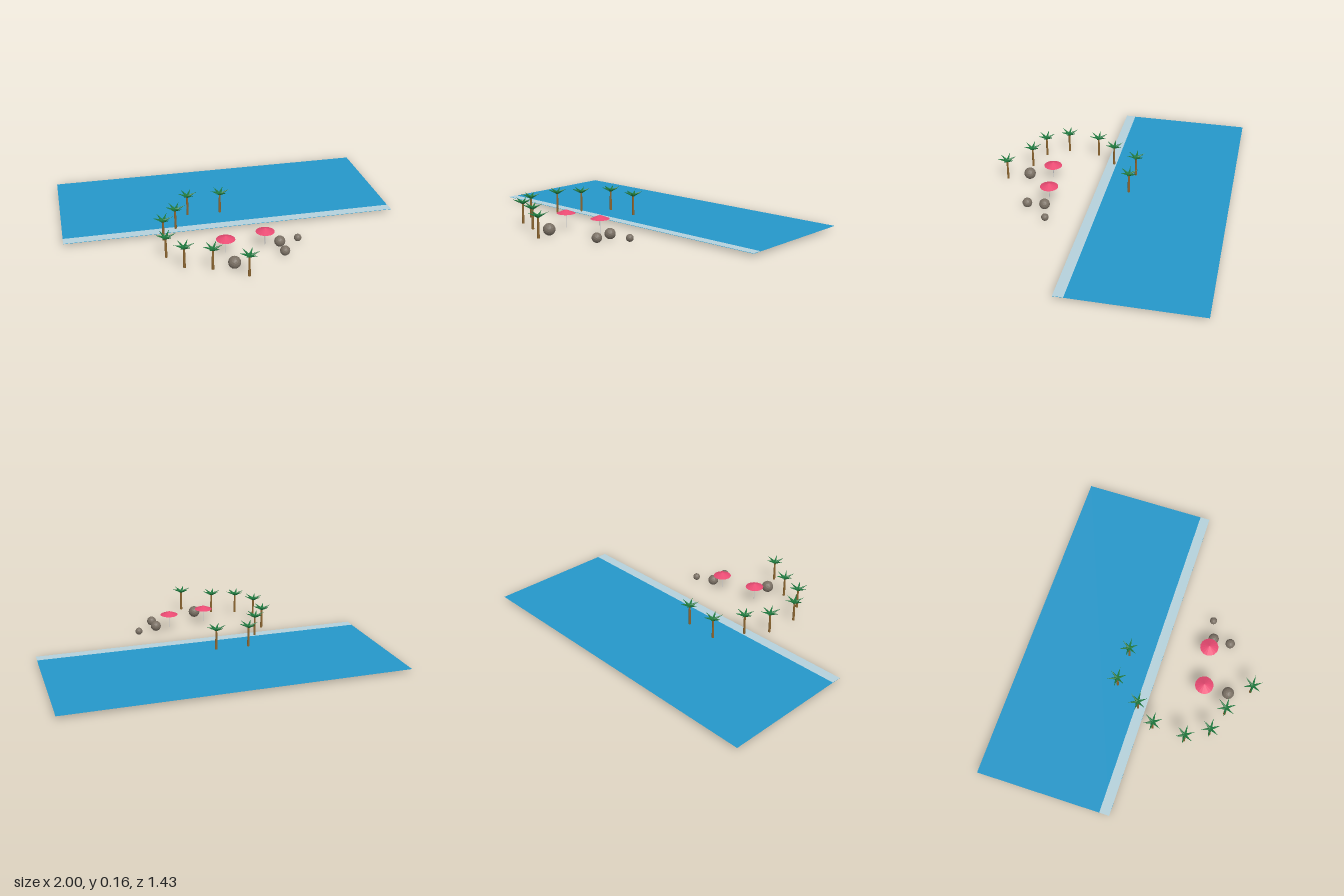
import * as THREE from 'three';

const mat = (color, extra = {}) => new THREE.MeshStandardMaterial({ color, ...extra });
const GROUND = 0.018;

function add(parent, name, geometry, material, x = 0, y = 0, z = 0) {
  const mesh = new THREE.Mesh(geometry, material);
  mesh.name = name;
  mesh.position.set(x, y, z);
  parent.add(mesh);
  return mesh;
}

export function createModel() {
  const model = new THREE.Group();
  model.name = 'beach';

  const water = mat(0x2596c8, { side: THREE.DoubleSide });
  const foam = mat(0xb4d0da, { side: THREE.DoubleSide });
  const bark = mat(0x8b6530, { flatShading: true });
  const leaf = mat(0x1f7a3f, { flatShading: true });
  const stone = mat(0x7a7064, { flatShading: true });
  const canvas = mat(0xe84a72, { flatShading: true });
  const metal = mat(0xcccccc);

  // Sea sheet with a pale strip of foam along its shore edge
  add(model, 'sea', new THREE.PlaneGeometry(2, 0.81).rotateX(-Math.PI / 2), water, 0, GROUND, -0.315);
  add(model, 'shoreFoam', new THREE.PlaneGeometry(2, 0.06).rotateX(-Math.PI / 2), foam, 0, GROUND + 0.002, 0.06);

  // Palms: tapered trunk and six slim cone fronds rising outwards
  const trunkGeo = new THREE.CylinderGeometry(0.0055, 0.0075, 0.125, 8).translate(0, 0.0625, 0);
  const frondGeo = new THREE.ConeGeometry(0.0095, 0.064, 5)
    .translate(0, 0.032, 0)
    .rotateZ(-Math.PI / 2 + 0.38);
  const palms = [
    [-0.24, -0.115], [-0.04, -0.108], [-0.34, 0.045], [-0.43, 0.165],
    [-0.446, 0.364], [-0.365, 0.494], [-0.217, 0.545], [-0.04, 0.655],
  ];
  for (const [x, z] of palms) {
    const palm = new THREE.Group();
    palm.name = 'palm';
    palm.position.set(x, GROUND, z);
    add(palm, 'trunk', trunkGeo, bark);
    for (let i = 0; i < 6; i++) {
      add(palm, 'frond', frondGeo, leaf, 0, 0.124, 0).rotation.y = (i * Math.PI) / 3;
    }
    model.add(palm);
  }

  // Parasols: shallow cone canopy on a thin pole
  const poleGeo = new THREE.CylinderGeometry(0.002, 0.002, 0.09, 8);
  const canopyGeo = new THREE.ConeGeometry(0.055, 0.023, 16);
  for (const [x, z] of [[-0.111, 0.383], [0.128, 0.343]]) {
    const parasol = new THREE.Group();
    parasol.name = 'parasol';
    parasol.position.set(x, GROUND, z);
    add(parasol, 'pole', poleGeo, metal, 0, 0.045, 0);
    add(parasol, 'canopy', canopyGeo, canvas, 0, 0.096, 0);
    model.add(parasol);
  }

  // Round boulders resting on y = 0
  const rocks = [[-0.093, 0.53, 0.036], [0.216, 0.455, 0.029], [0.214, 0.35, 0.032], [0.332, 0.315, 0.022]];
  for (const [x, z, r] of rocks) {
    add(model, 'boulder', new THREE.IcosahedronGeometry(r, 2), stone, x, r + 0.001, z);
  }

  return model;
}
